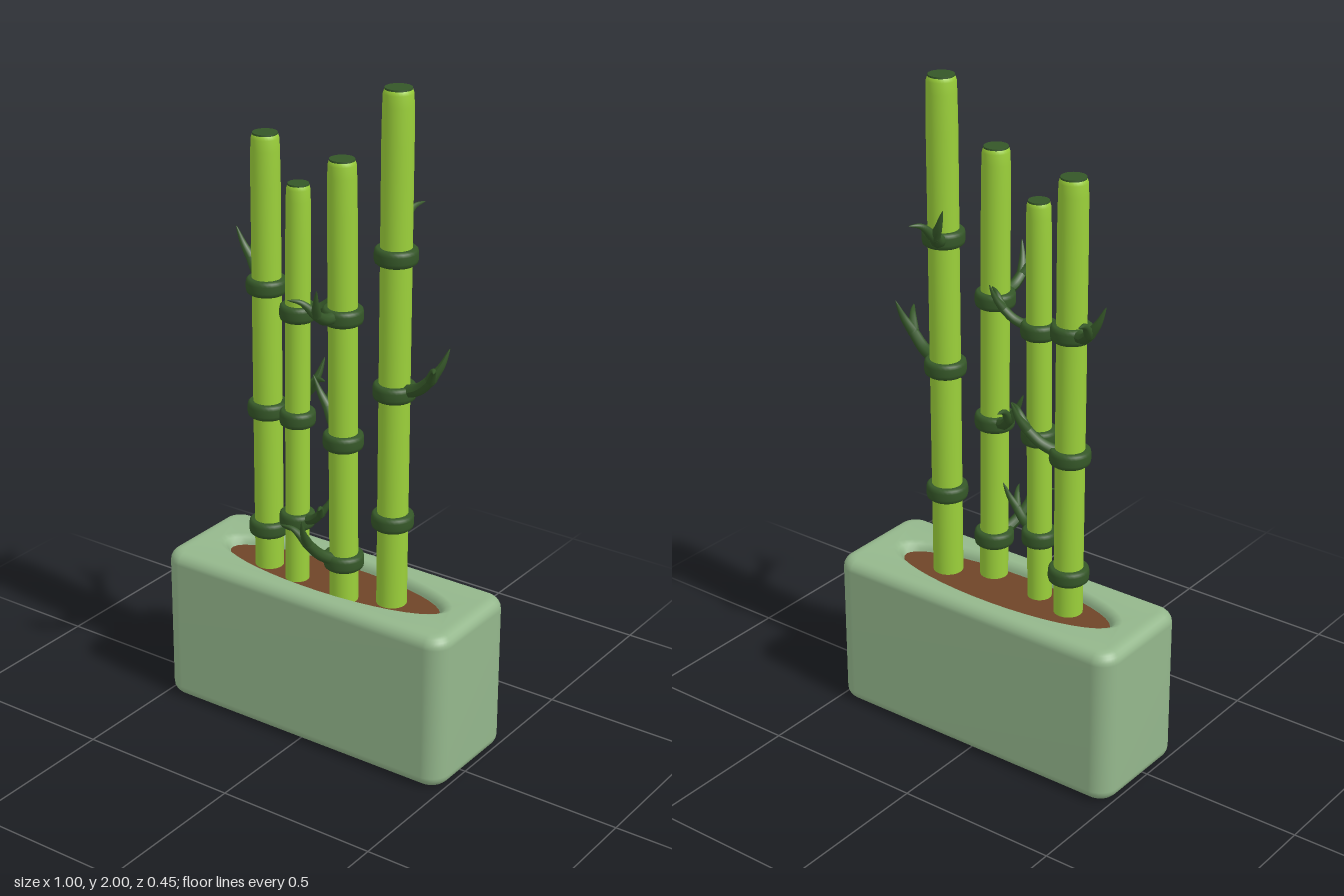
import * as THREE from 'three';

const mat = (color, side = THREE.FrontSide) => new THREE.MeshStandardMaterial({ color, side });
const POT_Z = -0.033;
const BASE_Y = 0.44;

function addMesh(parent, name, geometry, material) {
  const mesh = new THREE.Mesh(geometry, material);
  mesh.name = name;
  parent.add(mesh);
  return mesh;
}

const lathe = profile => new THREE.LatheGeometry(profile.map(([r, y]) => new THREE.Vector2(r, y)), 28);

// Planter: rounded-rectangle loops up the outside, turning into ellipses inside the opening
function planterGeometry() {
  const hx = 0.5, hz = 0.183, h = 0.49, corner = 0.06, bevel = 0.035, per = 10, n = per * 4;
  const points = [];
  const rect = (inset, y) => {
    const r = Math.max(corner - inset, 0.004);
    for (let i = 0; i < n; i++) {
      const q = Math.floor(i / per), a = (q + (i % per) / (per - 1)) * Math.PI / 2;
      const sx = q === 0 || q === 3 ? 1 : -1, sz = q < 2 ? 1 : -1;
      points.push(sx * (hx - inset - r) + r * Math.cos(a), y, sz * (hz - inset - r) + r * Math.sin(a));
    }
  };
  const ellipse = (rx, rz, y) => {
    for (let i = 0; i < n; i++) {
      const a = (i + 0.5) / n * Math.PI * 2;
      points.push(rx * Math.cos(a), y, rz * Math.sin(a));
    }
  };
  ellipse(0, 0, 0);
  rect(0.07, 0);
  for (let k = 0; k <= 5; k++) {
    const a = k / 5 * Math.PI / 2;
    rect(bevel * (1 - Math.sin(a)), bevel * (1 - Math.cos(a)));
  }
  for (let k = 0; k <= 5; k++) {
    const a = k / 5 * Math.PI / 2;
    rect(bevel * (1 - Math.cos(a)), h - bevel * (1 - Math.sin(a)));
  }
  rect(0.045, h);
  ellipse(0.415, 0.122, h - 0.001);
  ellipse(0.395, 0.11, h - 0.008);
  ellipse(0.38, 0.102, h - 0.022);
  ellipse(0.365, 0.094, h - 0.06);
  const index = [];
  for (let j = 0; j < points.length / 3 / n - 1; j++) {
    for (let i = 0; i < n; i++) {
      const a = j * n + i, b = j * n + (i + 1) % n;
      index.push(a, a + n, b, b, a + n, b + n);
    }
  }
  const g = new THREE.BufferGeometry();
  g.setAttribute('position', new THREE.Float32BufferAttribute(points, 3));
  g.setIndex(index);
  g.computeVertexNormals();
  return g;
}

// Tube whose radius follows a function of its length
function taperedTube(points, radiusAt, segments = 16, sides = 8) {
  const curve = new THREE.CatmullRomCurve3(points);
  const g = new THREE.TubeGeometry(curve, segments, 1, sides, false);
  const pos = g.attributes.position, v = new THREE.Vector3();
  for (let i = 0; i < pos.count; i++) {
    const t = Math.floor(i / (sides + 1)) / segments, c = curve.getPointAt(t);
    v.fromBufferAttribute(pos, i).sub(c).multiplyScalar(radiusAt(t)).add(c);
    pos.setXYZ(i, v.x, v.y, v.z);
  }
  g.computeVertexNormals();
  return g;
}

// Sprig growing along +x: a curved stem that forks into a high and a low pointed leaf
function makeSprig(lift, material) {
  const sprig = new THREE.Group();
  sprig.name = 'sprig';
  const start = new THREE.Vector3(0.03, 0.003, 0);
  const fork = new THREE.Vector3(0.132, 0.045 + lift, 0);
  const mid = start.clone().lerp(fork, 0.55);
  mid.y -= 0.012;
  addMesh(sprig, 'stem', taperedTube([start, mid, fork], t => 0.019 - 0.004 * t), material);
  const root = fork.clone().lerp(mid, 0.15);
  const highTip = new THREE.Vector3(0.164, 0.13 + lift, -0.03);
  const lowTip = new THREE.Vector3(0.182, 0.09 + lift, 0.057);
  for (const [tip, sag] of [[highTip, -0.008], [lowTip, 0.014]]) {
    const bend = fork.clone().lerp(tip, 0.5);
    bend.y += sag;
    addMesh(sprig, 'leaf', taperedTube([root, bend, tip], t => 0.0006 + 0.0155 * Math.pow(1 - t, 0.75)), material);
  }
  return sprig;
}

// Each stalk leans from base to tip [x, z]; each sprig is [band, heading in degrees from +x to +z, lift]
const STALKS = [
  { r: 0.043, top: 1.8, base: [-0.219, -0.015], tip: [-0.233, -0.033], firstBand: 0.59, gap: 0.38,
    sprigs: [[2, -148, 0], [1, -24, 0.03]] },
  { r: 0.036, top: 1.69, base: [-0.098, 0.01], tip: [-0.087, 0.01], firstBand: 0.66, gap: 0.325,
    sprigs: [[2, -20, 0.02], [0, 14, 0.02]] },
  { r: 0.042, top: 1.8, base: [0.09, 0.035], tip: [0.087, 0.047], firstBand: 0.59, gap: 0.38,
    sprigs: [[2, 91, -0.005], [1, -147, 0.015], [0, 113, 0.045]] },
  { r: 0.045, top: 2, base: [0.217, -0.025], tip: [0.214, -0.032], firstBand: 0.73, gap: 0.4,
    sprigs: [[2, -118, 0], [1, 7, 0.025]] }
];

export function createModel() {
  const root = new THREE.Group();
  root.name = 'pottedBamboo';
  const potMat = mat(0x94b78c), soilMat = mat(0x6f4528);
  const stalkMat = mat(0x9bd03a), darkMat = mat(0x355728, THREE.DoubleSide);

  addMesh(root, 'planter', planterGeometry(), potMat).position.z = POT_Z;
  const soil = addMesh(root, 'soil', new THREE.CylinderGeometry(1, 1, 0.02, 40), soilMat);
  soil.scale.set(0.374, 1, 0.099);
  soil.position.set(0, 0.453, POT_Z);

  for (const { r, top, base, tip, firstBand, gap, sprigs } of STALKS) {
    const plant = new THREE.Group();
    plant.name = 'bambooPlant';
    root.add(plant);
    const centreAt = y => {
      const t = (y - BASE_Y) / (top - BASE_Y);
      return new THREE.Vector3(THREE.MathUtils.lerp(base[0], tip[0], t), y, THREE.MathUtils.lerp(base[1], tip[1], t));
    };

    // Stalk: round shaft with a softened top edge, sheared along its lean
    const shaft = lathe([[r, BASE_Y], [r, top - 0.15], [r * 0.97, top - 0.05], [r * 0.94, top - 0.016],
      [r * 0.86, top - 0.005], [r * 0.78, top - 0.003]]);
    const pos = shaft.attributes.position;
    for (let i = 0; i < pos.count; i++) {
      const c = centreAt(pos.getY(i));
      pos.setXYZ(i, pos.getX(i) + c.x, c.y, pos.getZ(i) + c.z);
    }
    addMesh(plant, 'stalk', shaft, stalkMat);

    // Dark cut end
    addMesh(plant, 'stalkEnd', new THREE.CylinderGeometry(r * 0.84, r * 0.88, 0.012, 28), darkMat)
      .position.copy(centreAt(top - 0.006));

    // Joint bands
    const o = r + 0.017;
    const bandCentres = [0, 1, 2].map(k => centreAt(firstBand + gap * k));
    for (const centre of bandCentres) {
      const band = lathe([[r - 0.006, -0.023], [o - 0.008, -0.024], [o - 0.002, -0.019], [o, -0.01],
        [o, 0.01], [o - 0.002, 0.019], [o - 0.008, 0.024], [r - 0.006, 0.023]]);
      addMesh(plant, 'jointBand', band, darkMat).position.copy(centre);
    }

    // Sprigs, sized with the thickness of the stalk
    for (const [band, heading, lift] of sprigs) {
      const sprig = makeSprig(lift, darkMat);
      sprig.position.copy(bandCentres[band]);
      sprig.rotation.y = -THREE.MathUtils.degToRad(heading);
      sprig.scale.setScalar(r / 0.043);
      plant.add(sprig);
    }
  }
  return root;
}
